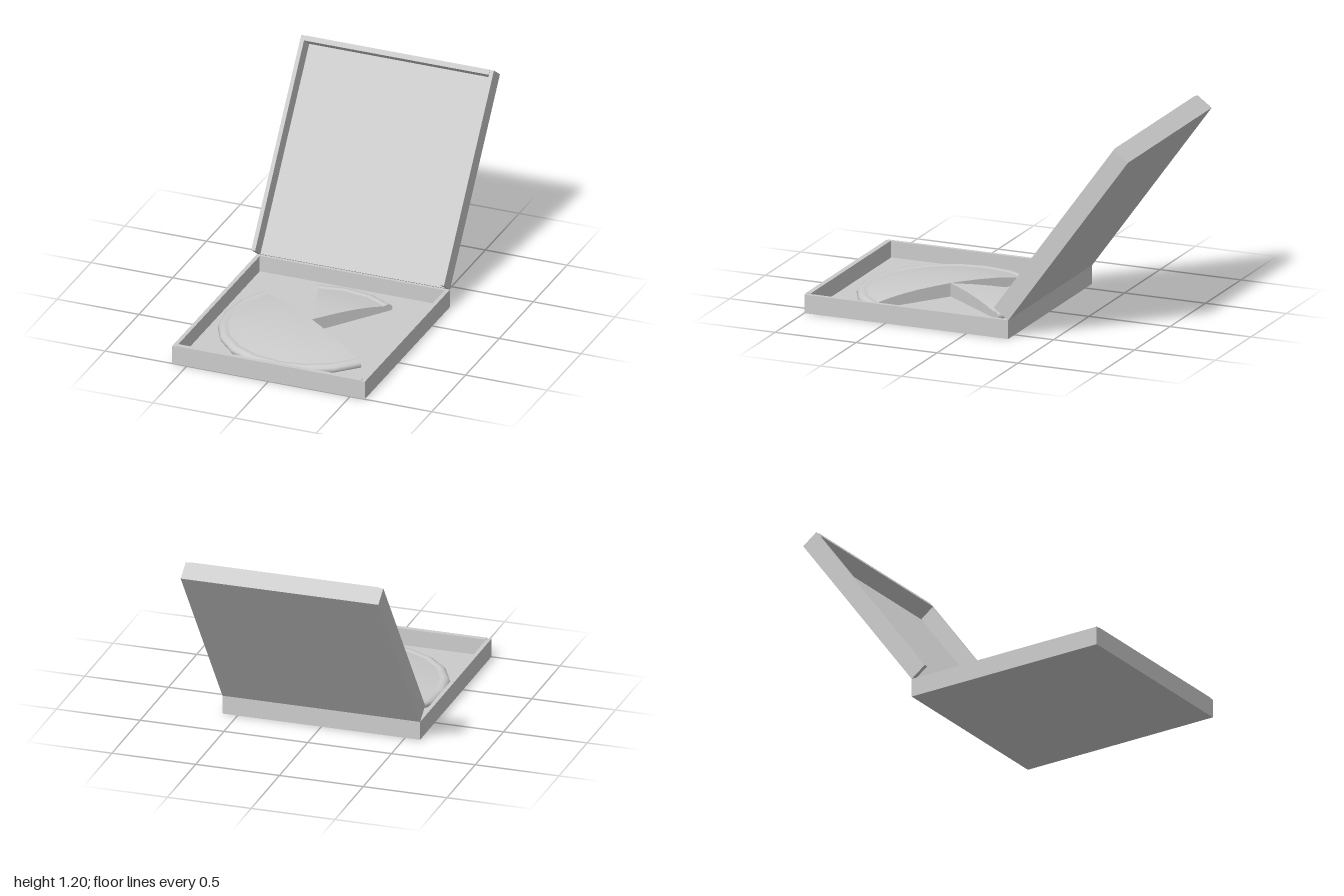
import * as THREE from 'three';

const grey = new THREE.MeshStandardMaterial({ color: 0xcccccc });
const thin = new THREE.MeshStandardMaterial({ color: 0xcccccc, side: THREE.DoubleSide });
const W = 1.18, L = 1.26, H = 0.11, SIDE = 0.024, END = 0.03, SHEET = 0.014;
const RAD = Math.PI / 180;

// Box given by its minimum and maximum corners
function slab(parent, name, [x0, y0, z0], [x1, y1, z1]) {
  const geo = new THREE.BoxGeometry(x1 - x0, y1 - y0, z1 - z0);
  geo.translate((x0 + x1) / 2, (y0 + y1) / 2, (z0 + z1) / 2);
  const mesh = new THREE.Mesh(geo, grey);
  mesh.name = name;
  parent.add(mesh);
}

// Tray: floor, four walls and two tapered corner flaps
function makeBase() {
  const base = new THREE.Group();
  base.name = 'boxBase';
  const back = 1 - L, inner = W / 2 - SIDE;
  slab(base, 'baseFloor', [-W / 2, 0, back], [W / 2, SHEET, 1]);
  slab(base, 'baseFrontWall', [-inner, 0, 1 - END], [inner, H + 0.004, 1]);
  slab(base, 'baseBackWall', [-inner, 0, back], [inner, H, back + 0.02]);
  for (const s of [-1, 1]) {
    slab(base, 'baseSideWall', [s * (W / 2 - SIDE / 2) - SIDE / 2, 0, back],
      [s * (W / 2 - SIDE / 2) + SIDE / 2, H, 1]);
    const shape = new THREE.Shape([[0, 0.014], [0, 0.108], [-0.12, 0.09], [-0.12, 0.03]]
      .map(([x, y]) => new THREE.Vector2(s * x, y)));
    const flap = new THREE.Mesh(new THREE.ShapeGeometry(shape), thin);
    flap.name = 'cornerFlap';
    flap.position.set(s * inner, 0, back + 0.022);
    flap.rotation.y = s * 0.05;
    base.add(flap);
  }
  return base;
}

// Lid: local y runs away from the hinge, local z faces the inside
function makeLid() {
  const lid = new THREE.Group();
  lid.name = 'boxLid';
  const inner = W / 2 - SIDE;
  slab(lid, 'lidPanel', [-W / 2, 0, 0], [W / 2, L, SHEET]);
  slab(lid, 'lidEndWall', [-inner, L - END, 0], [inner, L, H + 0.004]);
  for (const s of [-1, 1]) {
    const c = s * (W / 2 - SIDE / 2);
    slab(lid, 'lidSideWall', [c - SIDE / 2, 0, 0], [c + SIDE / 2, L, H]);
  }
  lid.position.set(0, H, 1 - L);
  lid.rotation.x = -0.627;
  return lid;
}

// Half-section of the pie, from the outer bottom edge up to the middle
const section = [[0.51, 0.008], [0.527, 0.014], [0.535, 0.027], [0.53, 0.042], [0.515, 0.053],
  [0.498, 0.056], [0.484, 0.052], [0.474, 0.051], [0.4, 0.066], [0.3, 0.079], [0.2, 0.087],
  [0.1, 0.091], [0, 0.093]].map(([r, y]) => new THREE.Vector2(r, y));

// Wedge of pie with flat faces closing both cuts
function makeWedge(name, start, steps) {
  const wedge = new THREE.Group();
  wedge.name = name;
  const sweep = steps * 18;
  const top = new THREE.Mesh(
    new THREE.LatheGeometry(section, steps, start * RAD, sweep * RAD), thin);
  top.name = 'crustAndTopping';
  wedge.add(top);
  const outline = new THREE.Shape([...section, new THREE.Vector2(0, 0.008)]);
  for (const angle of [start, start + sweep]) {
    const cut = new THREE.Mesh(new THREE.ShapeGeometry(outline), thin);
    cut.name = 'cutFace';
    cut.rotation.y = (angle - 90) * RAD;
    wedge.add(cut);
  }
  wedge.position.z = 0.355;
  return wedge;
}

export function createModel() {
  const model = new THREE.Group();
  model.name = 'openPizzaBox';
  model.add(makeBase(), makeLid(), makeWedge('halfPizza', -126, 10), makeWedge('pizzaSlice', 144, 3));
  return model;
}
